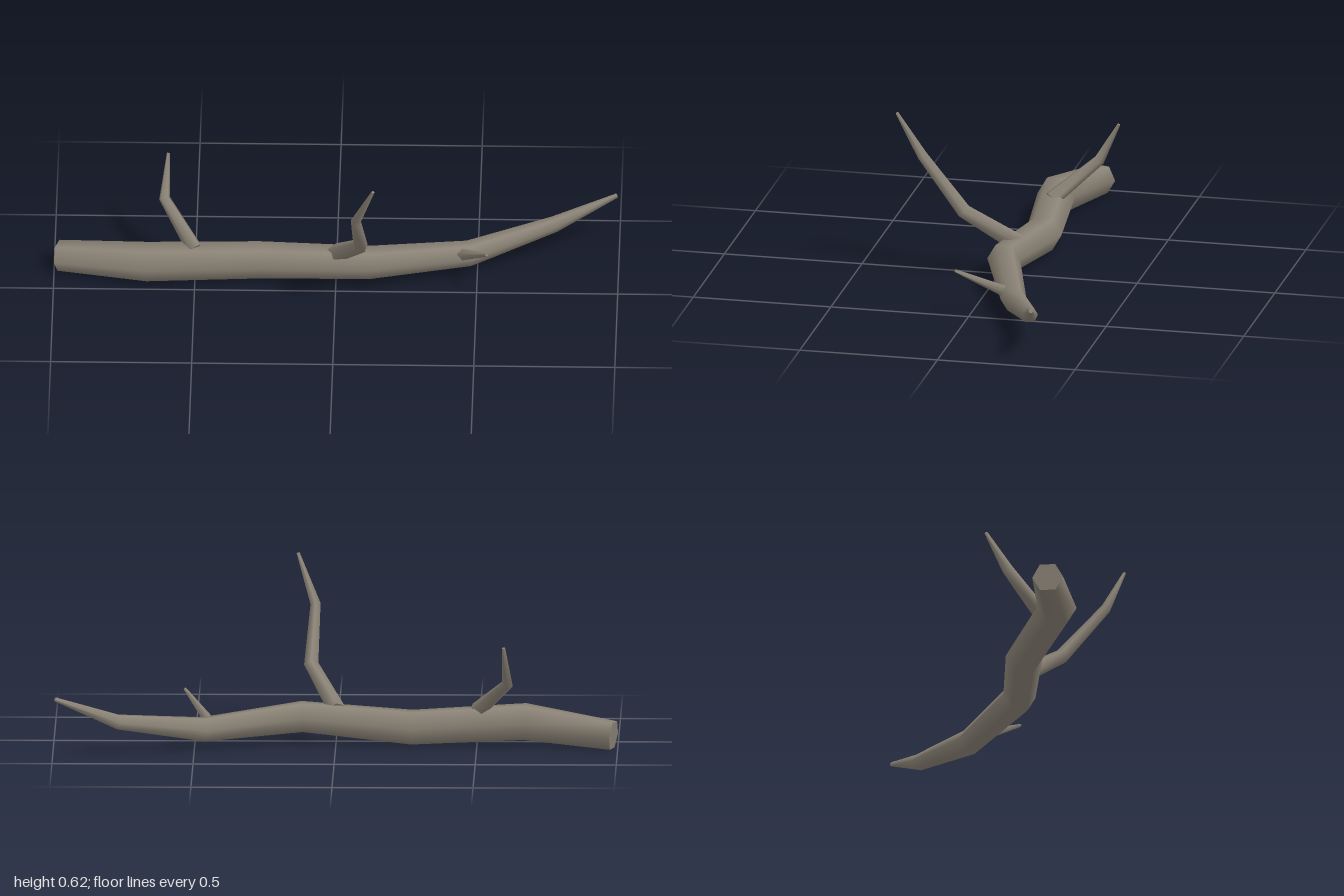
import * as THREE from 'three';

// Tapered limb through points [x, y, z, radius], smooth along the bark with flat end caps
function limb(name, points, sides, reference, material) {
  const centres = points.map(([x, y, z]) => new THREE.Vector3(x, y, z));
  const position = [];
  const index = [];
  const rings = points.map((point, i) => {
    const tangent = new THREE.Vector3();
    if (i > 0) tangent.add(centres[i].clone().sub(centres[i - 1]).normalize());
    if (i < points.length - 1) tangent.add(centres[i + 1].clone().sub(centres[i]).normalize());
    tangent.normalize();
    const u = new THREE.Vector3().crossVectors(tangent, reference).normalize();
    const v = new THREE.Vector3().crossVectors(tangent, u);
    return Array.from({ length: sides }, (_, k) => {
      const a = (k / sides) * Math.PI * 2;
      return centres[i].clone()
        .addScaledVector(u, Math.cos(a) * point[3])
        .addScaledVector(v, Math.sin(a) * point[3]);
    });
  });

  // Bark
  rings.forEach((ring) => ring.forEach((p) => position.push(p.x, p.y, p.z)));
  for (let i = 0; i < rings.length - 1; i++) {
    for (let k = 0; k < sides; k++) {
      const a = i * sides + k;
      const b = i * sides + ((k + 1) % sides);
      index.push(a, b, a + sides, b, b + sides, a + sides);
    }
  }

  // End caps with their own vertices, so the cut stays sharp
  [0, rings.length - 1].forEach((r) => {
    const start = position.length / 3;
    rings[r].forEach((p) => position.push(p.x, p.y, p.z));
    for (let k = 1; k < sides - 1; k++) {
      if (r === 0) index.push(start, start + k + 1, start + k);
      else index.push(start, start + k, start + k + 1);
    }
  });

  const geometry = new THREE.BufferGeometry();
  geometry.setAttribute('position', new THREE.Float32BufferAttribute(position, 3));
  geometry.setIndex(index);
  geometry.computeVertexNormals();
  const mesh = new THREE.Mesh(geometry, material);
  mesh.name = name;
  return mesh;
}

export function createModel() {
  const group = new THREE.Group();
  group.name = 'fallenBranch';
  const bark = new THREE.MeshStandardMaterial({ color: 0x8b8376 });
  bark.name = 'greyBark';
  const up = new THREE.Vector3(0, 1, 0);
  const side = new THREE.Vector3(1, 0, 0);

  // Main stem
  group.add(limb('mainStem', [
    [-0.985, 0.05, -0.148, 0.055],
    [-0.67, 0.084, -0.055, 0.07],
    [-0.27, 0.07, -0.098, 0.066],
    [0.12, 0.098, -0.042, 0.059],
    [0.47, 0.07, -0.157, 0.046],
    [0.77, 0.117, -0.284, 0.029],
    [0.992, 0.207, -0.337, 0.008],
  ], 6, up, bark));

  // Tall forked shoot leaning forward
  group.add(limb('tallTwig', [
    [0.0, 0.125, -0.06, 0.034],
    [0.09, 0.258, 0.11, 0.027],
    [0.077, 0.45, 0.264, 0.019],
    [0.14, 0.622, 0.341, 0.006],
  ], 5, side, bark));

  // Shorter shoot leaning back
  group.add(limb('backTwig', [
    [-0.5, 0.125, -0.075, 0.03],
    [-0.61, 0.246, -0.223, 0.021],
    [-0.598, 0.388, -0.298, 0.006],
  ], 5, side, bark));

  // Small spur near the tip
  group.add(limb('smallSpur', [
    [0.447, 0.092, -0.112, 0.021],
    [0.536, 0.183, 0.04, 0.006],
  ], 4, side, bark));

  return group;
}
